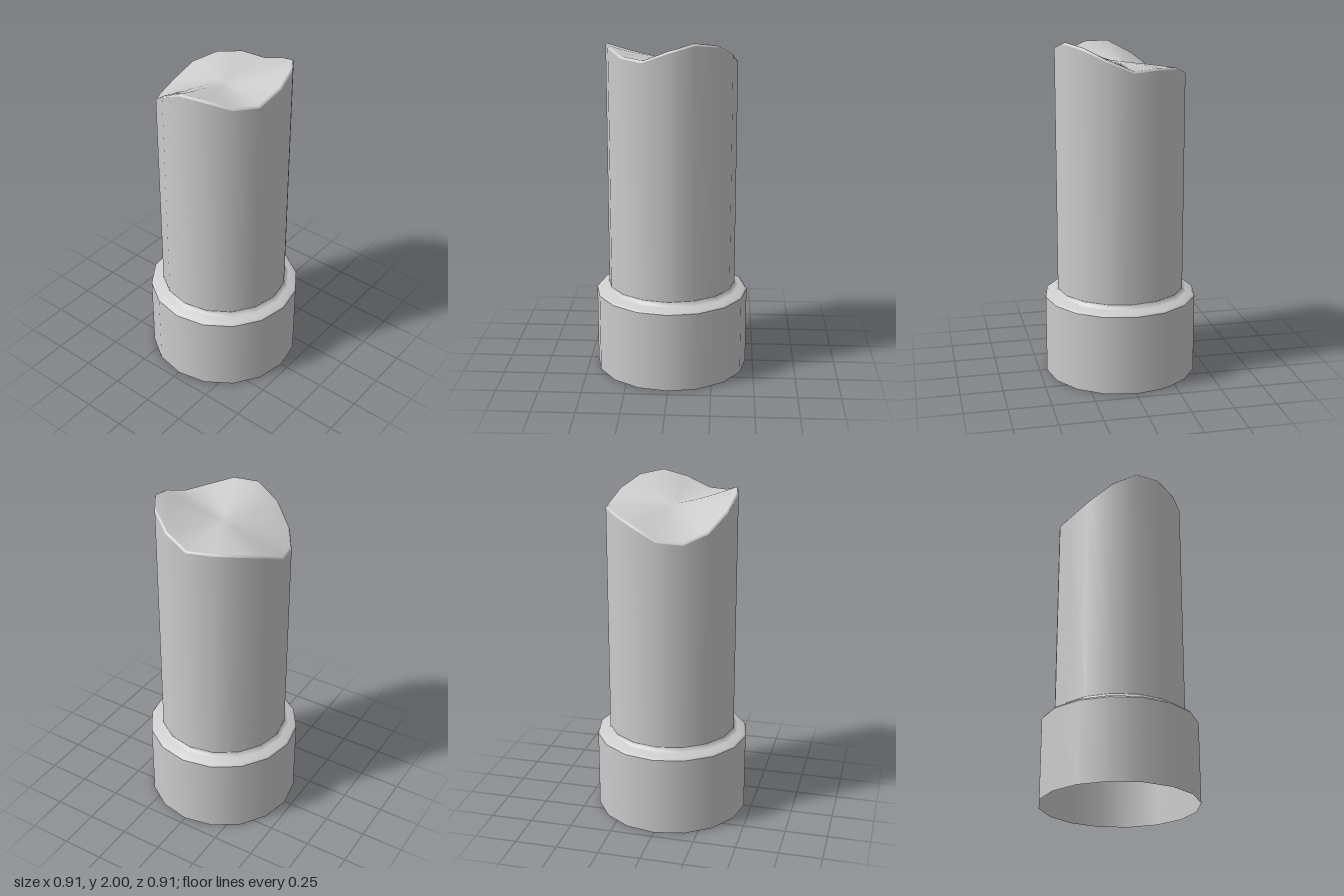
import * as THREE from 'three';
import { mergeVertices } from 'three/addons/utils/BufferGeometryUtils.js';

const SIDES = 16;
const R = 0.38;
// height of the broken rim at each corner, from +x turning towards +z
const RIM = [1.86, 1.92, 1.98, 2.0, 1.96, 1.905, 1.915, 1.955,
  1.955, 1.88, 1.785, 1.735, 1.75, 1.82, 1.86, 1.87];
const CENTRE = 1.87;

const material = new THREE.MeshStandardMaterial({ color: 0xcccccc, side: THREE.DoubleSide });

function rimHeight(x, z) {
  const i = Math.round(Math.atan2(z, x) / (2 * Math.PI) * SIDES);
  return RIM[(i + SIDES) % SIDES];
}

function lathe(points) {
  return new THREE.LatheGeometry(points.map(([r, y]) => new THREE.Vector2(r, y)), SIDES);
}

function addPart(group, name, geometry) {
  const mesh = new THREE.Mesh(geometry, material);
  mesh.name = name;
  group.add(mesh);
}

// weld the lathe seam and recompute smooth normals
function smooth(geometry) {
  geometry.deleteAttribute('uv');
  geometry.deleteAttribute('normal');
  const welded = mergeVertices(geometry, 1e-4);
  welded.computeVertexNormals();
  return welded;
}

export function createModel() {
  const group = new THREE.Group();
  group.name = 'brokenColumn';

  // base collar, open underneath, and its sloping shoulder
  addPart(group, 'baseCollar', lathe([[0.455, 0], [0.455, 0.472]]));
  addPart(group, 'collarShoulder', lathe([[0.455, 0.472], [0.445, 0.484], [0.405, 0.495], [0.386, 0.505], [R, 0.522]]));

  // shaft: the upper ring follows the broken rim
  const shaft = lathe([[R, 0.522], [R, 1]]);
  const sp = shaft.attributes.position;
  for (let i = 0; i < sp.count; i++) {
    if (sp.getY(i) > 0.9) sp.setY(i, rimHeight(sp.getX(i), sp.getZ(i)) - 0.012);
  }
  addPart(group, 'shaft', shaft);

  // fracture surface: softened lip, then blending down to the centre
  const top = lathe([[R, -0.012], [0.376, -0.003], [0.367, 0], [0.31, 0], [0.24, 0], [0.16, 0], [0.08, 0], [0, 0]]);
  const tp = top.attributes.position;
  for (let i = 0; i < tp.count; i++) {
    const x = tp.getX(i), z = tp.getZ(i), r = Math.hypot(x, z);
    const t = Math.min(1, r / 0.367);
    const h = r < 1e-4 ? CENTRE : THREE.MathUtils.lerp(CENTRE, rimHeight(x, z), Math.pow(t, 1.4));
    tp.setY(i, tp.getY(i) + h);
  }
  addPart(group, 'fracturedTop', smooth(top));

  return group;
}
